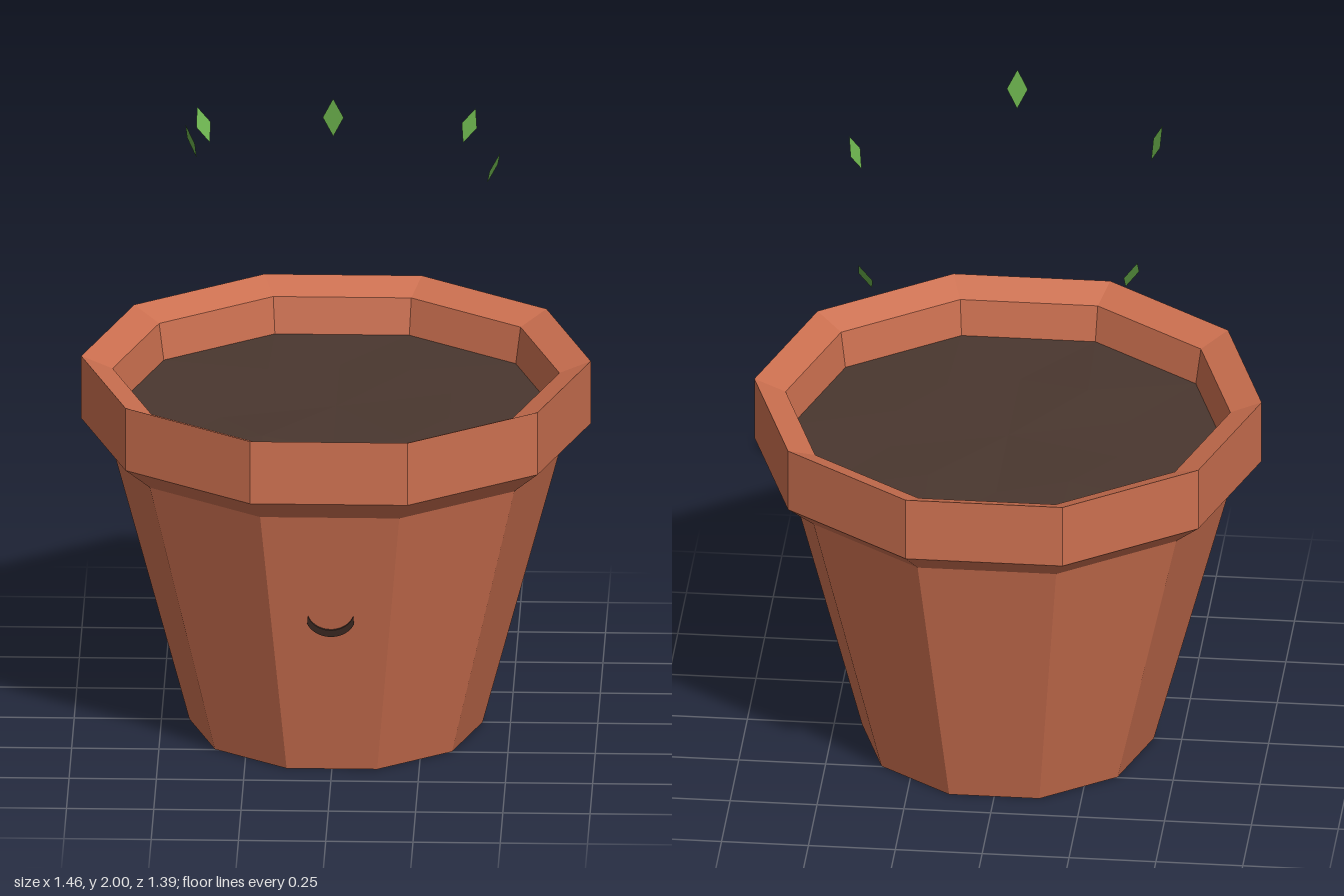
import * as THREE from 'three';

const SIDES = 10;
const paint = (name, color, extra = {}) => {
  const m = new THREE.MeshStandardMaterial({ color, ...extra });
  m.name = name;
  return m;
};

// Split faces so that every facet is flat
function faceted(geometry) {
  const g = geometry.index ? geometry.toNonIndexed() : geometry;
  g.computeVertexNormals();
  return g;
}

// Ten-sided turned shape with corners on the x axis
function turned(profile) {
  const points = profile.map(([r, y]) => new THREE.Vector2(r, y));
  return new THREE.LatheGeometry(points, SIDES, Math.PI / 2);
}

// Soil disc: the inner ring is turned half a step and slightly uneven
function soilGeometry() {
  const inner = 0.345, y = 0.96;
  const g = turned([[0.625, y], [inner, y], [0, y]]);
  const p = g.attributes.position;
  for (let i = 0; i <= SIDES; i++) {
    const a = Math.PI / 2 + (i + 0.5) * Math.PI * 2 / SIDES;
    const bump = 0.006 * Math.sin((i % SIDES) * 2.4);
    p.setXYZ(i * 3 + 1, Math.sin(a) * inner, y + 0.004 + bump, Math.cos(a) * inner);
  }
  return faceted(g);
}

// Flat diamond that faces away from the pot's axis and leans outward
function leafGeometry(x, z, halfHeight, lean) {
  const a = Math.atan2(x, z), w = 0.03;
  const s = Math.sin(a), c = Math.cos(a);
  const g = new THREE.BufferGeometry();
  g.setAttribute('position', new THREE.Float32BufferAttribute([
    -s * lean, -halfHeight, -c * lean,
    c * w, 0, -s * w,
    s * lean, halfHeight, c * lean,
    -c * w, 0, s * w,
  ], 3));
  g.setIndex([0, 1, 2, 0, 2, 3]);
  return faceted(g);
}

export function createModel() {
  const model = new THREE.Group();
  model.name = 'flowerPot';
  const terracotta = paint('terracotta', 0xcb6f4f);
  const earth = paint('earth', 0x4a372f);
  const smileBrown = paint('smileBrown', 0x3f2c25);
  const leafGreen = paint('leafGreen', 0x6ab04c, { side: THREE.DoubleSide });
  const add = (name, geometry, material) => {
    const mesh = new THREE.Mesh(geometry, material);
    mesh.name = name;
    model.add(mesh);
    return mesh;
  };

  // Pot body with its base
  add('potBody', faceted(turned([[0, 0], [0.42, 0], [0.645, 0.845]])), terracotta);

  // Rim: chamfer below, upright band, top sloping inward, inner wall
  add('potRim', faceted(turned([
    [0.645, 0.845], [0.73, 0.915], [0.73, 1.105], [0.64, 1.068], [0.62, 0.94],
  ])), terracotta);

  add('soil', soilGeometry(), earth);

  // Smile: thin crescent on the sloping front facet
  const arc = new THREE.Shape();
  const from = Math.PI * 1.13, to = Math.PI * 1.87;
  arc.absarc(0, 0.036, 0.073, from, to, false);
  arc.absarc(0, 0.054, 0.068, to + 0.1, from - 0.1, true);
  const smile = add('smile', new THREE.ExtrudeGeometry(arc, {
    depth: 0.006, bevelEnabled: false, curveSegments: 12,
  }), smileBrown);
  const slope = Math.atan2(0.225 * Math.cos(Math.PI / SIDES), 0.845);
  smile.position.set(0, 0.484, (0.42 + 0.225 * 0.484 / 0.845) * Math.cos(Math.PI / SIDES));
  smile.rotation.x = slope;
  smile.geometry.translate(0, -0.001, -0.001);

  // Floating leaves: x, y, z, half height, lean
  [
    [0, 1.94, 0.27, 0.06, 0.007],
    [-0.41, 1.832, 0.183, 0.053, 0.017],
    [-0.39, 1.686, -0.35, 0.048, 0.025],
    [0.37, 1.67, -0.407, 0.046, 0.026],
    [0.457, 1.758, 0.18, 0.048, 0.02],
  ].forEach(([x, y, z, h, lean], i) => {
    add('leaf' + (i + 1), leafGeometry(x, z, h, lean), leafGreen).position.set(x, y, z);
  });

  return model;
}
